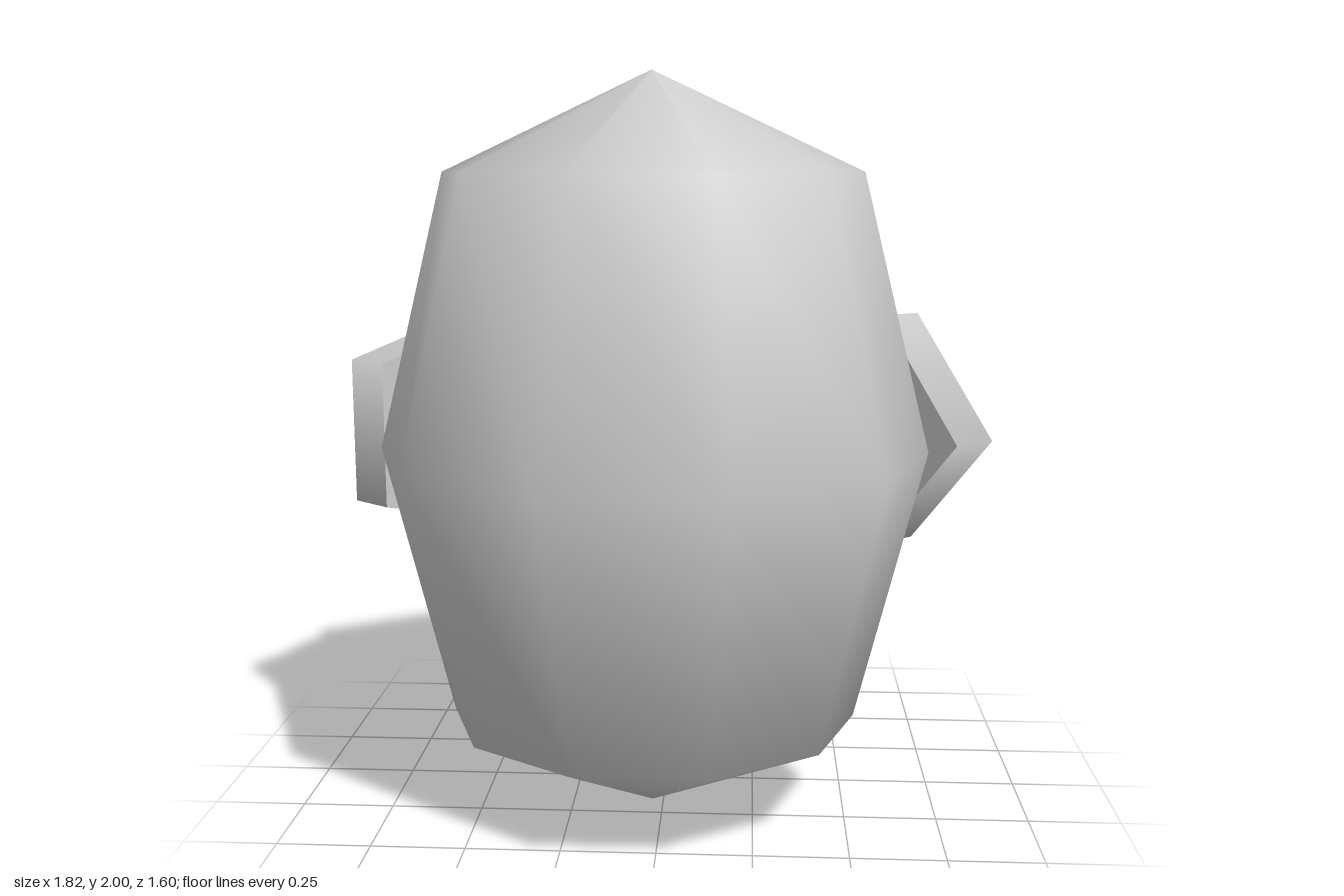
import * as THREE from 'three';

export function createModel() {
  const model = new THREE.Group();
  const grey = new THREE.MeshStandardMaterial({ color: 0xcccccc });
  grey.name = 'plainGrey';

  // ten-sided, egg-shaped body
  const profile = [[0, 0], [0.75, 0.26], [1, 1], [0.75, 1.74], [0, 2]]
    .map(([r, y]) => new THREE.Vector2(r, y));
  const body = new THREE.Mesh(new THREE.LatheGeometry(profile, 10, Math.PI / 2), grey);
  body.name = 'body';
  body.scale.set(0.74, 1, 0.665);
  body.position.set(-0.03, 0, 0.16);
  model.add(body);

  // upright pentagonal plate, its point along +x
  const plate = new THREE.CylinderGeometry(1, 1, 0.14, 5, 1, false, Math.PI / 2);
  plate.rotateX(Math.PI / 2);
  plate.scale(0.44, 0.353, 1);

  // chain of overlapping plates wrapped round the back
  const plates = [
    // name, centre, direction of the point (x, z), inward lean
    ['leftOuterPlate', [0.578, 1, -0.329], [0.63, 0.78], 0],
    ['leftInnerPlate', [0.31, 1.125, -0.55], [0.88, 0.47], 0.13],
    ['middlePlate', [-0.03, 1, -0.62], [1, 0], 0],
    ['rightInnerPlate', [-0.372, 1.125, -0.545], [0.92, -0.4], 0.15],
    ['rightOuterPlate', [-0.638, 1, -0.334], [0.62, -0.78], 0],
  ];
  for (const [name, centre, [dx, dz], lean] of plates) {
    const mesh = new THREE.Mesh(plate, grey);
    mesh.name = name;
    mesh.position.set(...centre);
    mesh.rotation.set(lean, -Math.atan2(dz, dx), 0, 'YXZ');
    model.add(mesh);
  }
  return model;
}
